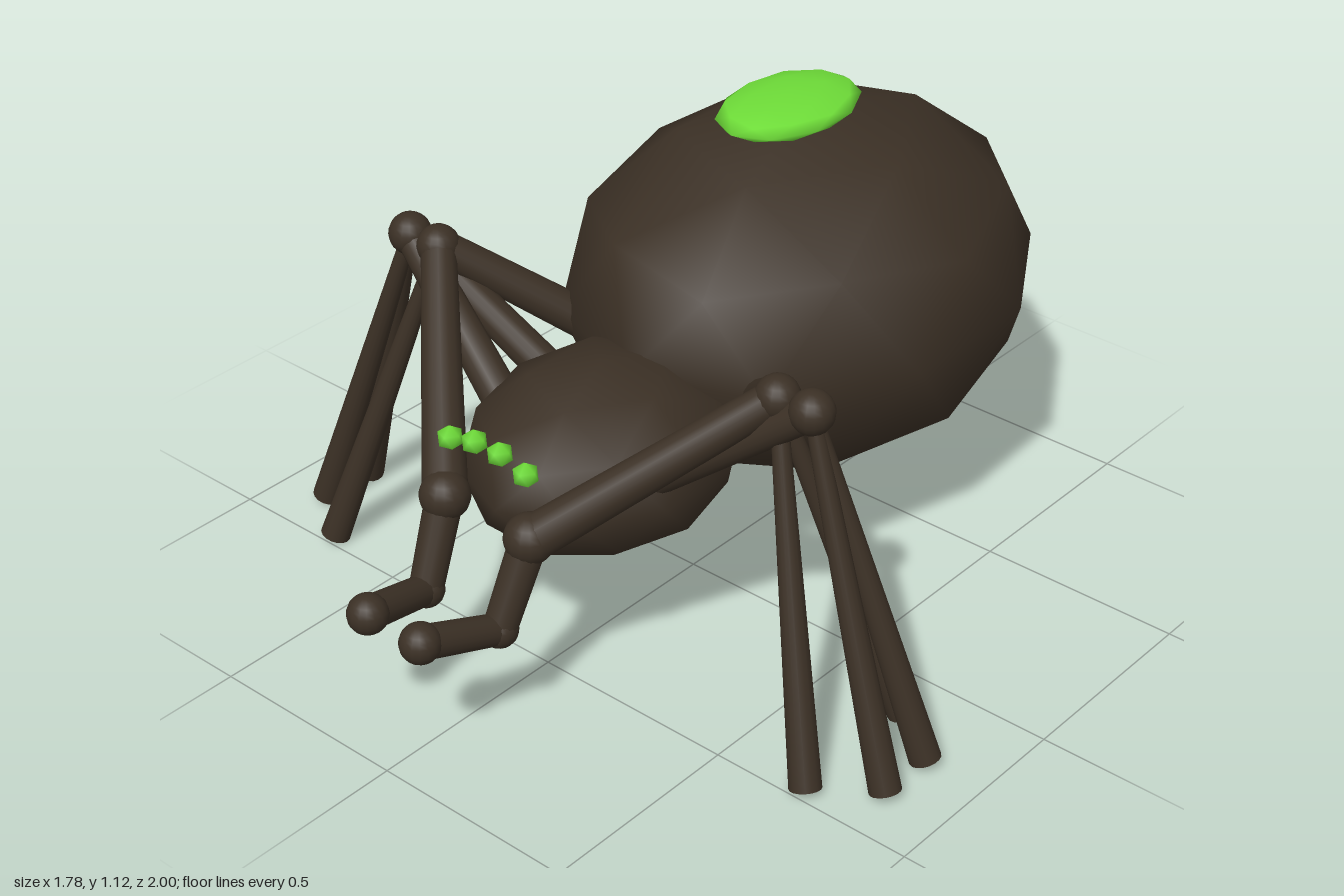
import * as THREE from 'three';

const brown = new THREE.MeshStandardMaterial({ color: 0x3b3025 });
brown.name = 'dark brown';
const green = new THREE.MeshStandardMaterial({ color: 0x6edc38 });
green.name = 'bright green';

// Icosphere with a corner at the top and smooth normals, stretched to three radii
function blob(name, material, position, radii, detail = 1) {
  const geometry = new THREE.IcosahedronGeometry(1, detail);
  geometry.rotateX(-Math.atan((1 + Math.sqrt(5)) / 2)).rotateY(Math.PI / 2);
  geometry.setAttribute('normal', geometry.attributes.position.clone());
  geometry.scale(...radii);
  const mesh = new THREE.Mesh(geometry, material);
  mesh.name = name;
  mesh.position.set(...position);
  return mesh;
}

// Round tapered segment between two points
function limb(name, from, to, r0, r1) {
  const a = new THREE.Vector3(...from), b = new THREE.Vector3(...to);
  const dir = b.clone().sub(a);
  const mesh = new THREE.Mesh(new THREE.CylinderGeometry(r1, r0, dir.length(), 16), brown);
  mesh.name = name;
  mesh.position.copy(a).add(b).multiplyScalar(0.5);
  mesh.quaternion.setFromUnitVectors(new THREE.Vector3(0, 1, 0), dir.normalize());
  return mesh;
}

function joint(name, position, radius) {
  const mesh = new THREE.Mesh(new THREE.SphereGeometry(radius, 16, 12), brown);
  mesh.name = name;
  mesh.position.set(...position);
  return mesh;
}

function createSide(side) {
  const group = new THREE.Group();
  group.name = side > 0 ? 'leftLimbs' : 'rightLimbs';
  const p = (x, y, z) => [side * x, y, z];
  const legZ = 0.305;

  // Four legs: an outer middle pair and an inner front and rear pair
  const innerKnee = p(0.49, 0.81, legZ), outerKnee = p(0.58, 0.81, legZ);
  group.add(joint('innerKnee', innerKnee, 0.05), joint('outerKnee', outerKnee, 0.05));
  for (const s of [1, -1]) {
    group.add(
      limb('upperLeg', p(0.13, 0.485, legZ + s * 0.36), innerKnee, 0.05, 0.04),
      limb('lowerLeg', innerKnee, p(0.72, 0.012, legZ + s * 0.17), 0.018, 0.036),
      limb('middleUpperLeg', p(0.22, 0.54, legZ + s * 0.08), outerKnee, 0.045, 0.038),
      limb('middleLowerLeg', outerKnee, p(0.855, 0.015, legZ + s * 0.07), 0.018, 0.036)
    );
  }

  // Feeler in front of the head
  const root = p(0.125, 0.485, 0.67), elbow = p(0.11, 0.29, 0.755), tip = p(0.078, 0.35, 0.953);
  group.add(
    joint('feelerRoot', root, 0.057), joint('feelerElbow', elbow, 0.042), joint('feelerTip', tip, 0.046),
    limb('feelerUpper', root, elbow, 0.042, 0.038), limb('feelerLower', elbow, tip, 0.035, 0.038)
  );

  // Two eyes on each side
  group.add(
    blob('innerEye', green, p(0.037, 0.652, 0.66), [0.03, 0.03, 0.03], 0),
    blob('outerEye', green, p(0.11, 0.632, 0.66), [0.03, 0.03, 0.03], 0)
  );
  return group;
}

export function createModel() {
  const model = new THREE.Group();
  model.name = 'spider';
  model.add(
    blob('abdomen', brown, [0, 0.632, -0.385], [0.515, 0.432, 0.615]),
    blob('head', brown, [0, 0.485, 0.305], [0.29, 0.215, 0.34]),
    blob('backSpot', green, [0, 1.08, -0.327], [0.137, 0.036, 0.2])
  );
  for (const side of [1, -1]) model.add(createSide(side));
  return model;
}
